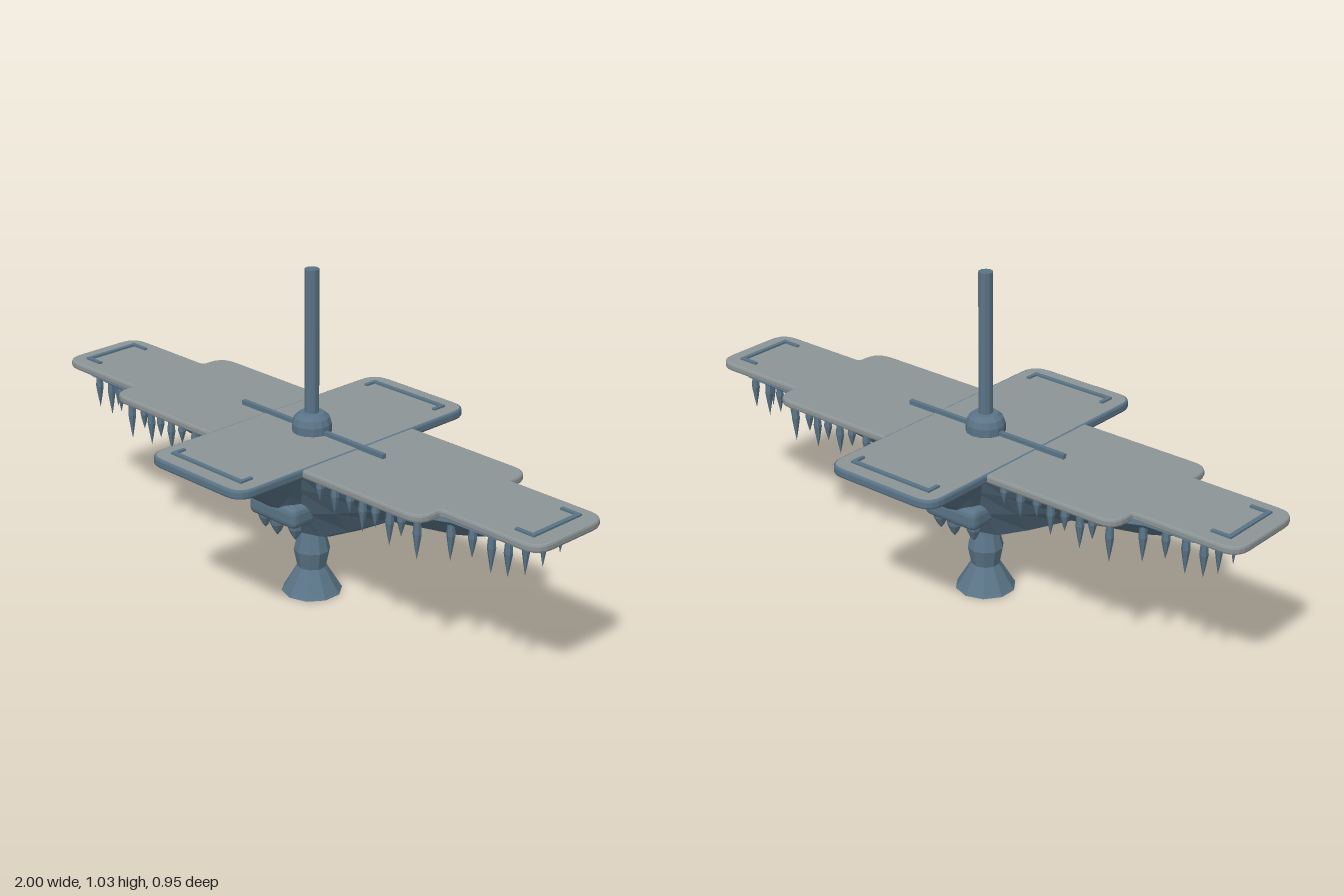
import * as THREE from 'three';
import { RoundedBoxGeometry } from 'three/addons/geometries/RoundedBoxGeometry.js';

export function createModel() {
  const root = new THREE.Group();
  const steel = new THREE.MeshStandardMaterial({ color: 0x5a7487, flatShading: true });
  steel.name = 'blue steel';
  const stone = new THREE.MeshStandardMaterial({ color: 0x8c9495, flatShading: true });
  stone.name = 'grey deck';

  const add = (name, geo, mat, x = 0, y = 0, z = 0, parent = root) => {
    const m = new THREE.Mesh(geo, mat);
    m.name = name;
    m.position.set(x, y, z);
    parent.add(m);
    return m;
  };
  const lathe = (pts, sides) =>
    new THREE.LatheGeometry(pts.map(p => new THREE.Vector2(p[0], p[1])), sides);

  // Flat slab from a polygon of [x, z, cornerRadius], with bevelled rim
  const slab = (pts, y0, y1) => {
    const s = new THREE.Shape(), n = pts.length;
    pts.forEach(([x, y, r], i) => {
      const c = new THREE.Vector2(x, y);
      const toward = q => new THREE.Vector2(q[0], q[1]).sub(c).setLength(r).add(c);
      const a = toward(pts[(i + n - 1) % n]), b = toward(pts[(i + 1) % n]);
      if (i === 0) s.moveTo(a.x, a.y); else s.lineTo(a.x, a.y);
      s.quadraticCurveTo(x, y, b.x, b.y);
    });
    s.closePath();
    const t = 0.007;
    const g = new THREE.ExtrudeGeometry(s, {
      depth: y1 - y0 - 2 * t, bevelThickness: t, bevelSize: t, bevelOffset: -t,
      bevelSegments: 2, curveSegments: 5,
    });
    return g.rotateX(-Math.PI / 2).translate(0, y0 + t, 0);
  };

  // Decks: long stepped one, and the crossing one with a steel rim
  const R = 0.06;
  add('longDeck', slab([
    [1, -0.145, R], [1, 0.145, R], [0.655, 0.145, 0.01], [0.655, 0.23, R],
    [-0.655, 0.23, R], [-0.655, 0.145, 0.01], [-1, 0.145, R], [-1, -0.145, R],
    [-0.655, -0.145, 0.01], [-0.655, -0.23, R], [0.655, -0.23, R], [0.655, -0.145, 0.01],
  ], 0.501, 0.526), stone);
  add('crossDeck', slab([
    [0.2, -0.473, R], [0.2, 0.473, R], [-0.2, 0.473, R], [-0.2, -0.473, R],
  ], 0.499, 0.528), [stone, steel]);

  // Faceted hull from V-shaped sections: station = [position, half width, depth]
  const profile = [[1, 0], [0.76, 0.32], [0.5, 0.645], [0.2, 0.96], [0, 1],
    [-0.2, 0.96], [-0.5, 0.645], [-0.76, 0.32], [-1, 0]];
  const hull = half => {
    const stations = [...half.slice(1).reverse().map(([p, w, d]) => [-p, w, d]), ...half];
    const pos = [], idx = [], n = profile.length;
    stations.forEach(([p, w, d]) => profile.forEach(([a, b]) => pos.push(p, 0.505 - b * d, a * w)));
    for (let i = 0; i < stations.length - 1; i++) {
      for (let j = 0; j < n; j++) {
        const k = (j + 1) % n;
        const a = i * n + j, b = i * n + k, c = a + n, d = b + n;
        idx.push(a, b, d, a, d, c);
      }
    }
    const last = (stations.length - 1) * n;
    for (let j = 1; j < n - 1; j++) idx.push(0, j + 1, j, last, last + j, last + j + 1);
    const g = new THREE.BufferGeometry();
    g.setAttribute('position', new THREE.Float32BufferAttribute(pos, 3));
    g.setIndex(idx);
    g.computeVertexNormals();
    return g;
  };
  add('longHull', hull([[0, 0.2, 0.315], [0.08, 0.2, 0.3], [0.2, 0.2, 0.24], [0.36, 0.2, 0.15],
    [0.62, 0.19, 0.105], [0.7, 0.155, 0.085], [0.86, 0.15, 0.025], [0.9, 0.11, 0.005]]), steel);
  add('crossHull', hull([[0, 0.17, 0.3], [0.1, 0.17, 0.25], [0.17, 0.17, 0.175],
    [0.3, 0.165, 0.085], [0.4, 0.16, 0.008]]).rotateY(Math.PI / 2), steel);

  // Lower pedestal
  add('pedestal', lathe([[0, 0.003], [0.094, 0.003], [0.088, 0.012], [0.045, 0.085],
    [0.056, 0.14], [0.04, 0.205], [0, 0.21]], 10), steel);

  // Mast with its collar and the thin deck bar
  add('mast', new THREE.CylinderGeometry(0.022, 0.022, 0.5, 10), steel, 0, 0.78, 0);
  add('mastCollar', lathe([[0.06, 0.52], [0.06, 0.553], [0.053, 0.572], [0.038, 0.585], [0, 0.588]], 14), steel);
  add('deckBar', new THREE.BoxGeometry(0.6, 0.016, 0.014), steel, 0, 0.532, 0);

  // U-shaped rails near the four deck ends
  const rail = (name, angle, dist, half, leg, y) => {
    const g = new THREE.Group();
    g.name = name;
    g.rotation.y = angle;
    root.add(g);
    add('railBar', new THREE.BoxGeometry(half * 2, 0.008, 0.014), steel, 0, y, dist, g);
    for (const s of [-1, 1]) {
      add('railLeg', new THREE.BoxGeometry(0.012, 0.008, leg), steel, s * (half - 0.006), y, dist - leg / 2, g);
    }
  };
  for (const s of [0, 1]) {
    rail('crossRail', s * Math.PI, 0.415, 0.15, 0.04, 0.53);
    rail('endRail', Math.PI / 2 + s * Math.PI, 0.94, 0.1, 0.06, 0.528);
  }

  // Pods on the crossing hull, each with hanging drops
  const drop = lathe([[0, -0.052], [0.01, -0.04], [0.022, -0.015], [0.024, 0.01], [0, 0.02]], 8);
  for (const s of [-1, 1]) {
    add('pod', new RoundedBoxGeometry(0.2, 0.07, 0.1, 2, 0.022), steel, 0, 0.315, s * 0.122);
    for (const [x, z] of [[-0.065, 0.13], [0, 0.142], [0.065, 0.13], [-0.035, 0.09], [0.035, 0.09]]) {
      add('podDrop', drop, steel, x, 0.283, s * z);
    }
  }

  // Icicle-like spikes under the deck edges: [x, z, length]
  const spike = lathe([[0, -1], [0.007, -0.7], [0.013, -0.4], [0.009, 0], [0, 0]], 6);
  const spikes = [
    [0.24, 0.2, 0.07], [0.3, 0.2, 0.09], [0.36, 0.2, 0.07], [0.41, 0.2, 0.11], [0.46, 0.2, 0.08],
    [0.51, 0.195, 0.12], [0.55, 0.19, 0.08], [0.61, 0.19, 0.13], [0.68, 0.13, 0.13],
    [0.75, 0.12, 0.1], [0.81, 0.11, 0.13], [0.87, 0.11, 0.12], [0.87, 0.037, 0.14],
  ];
  for (const sx of [-1, 1]) {
    for (const sz of [-1, 1]) {
      for (const [x, z, len] of spikes) {
        add('spike', spike, steel, sx * x, 0.505, sz * z).scale.y = len;
      }
    }
  }
  return root;
}
